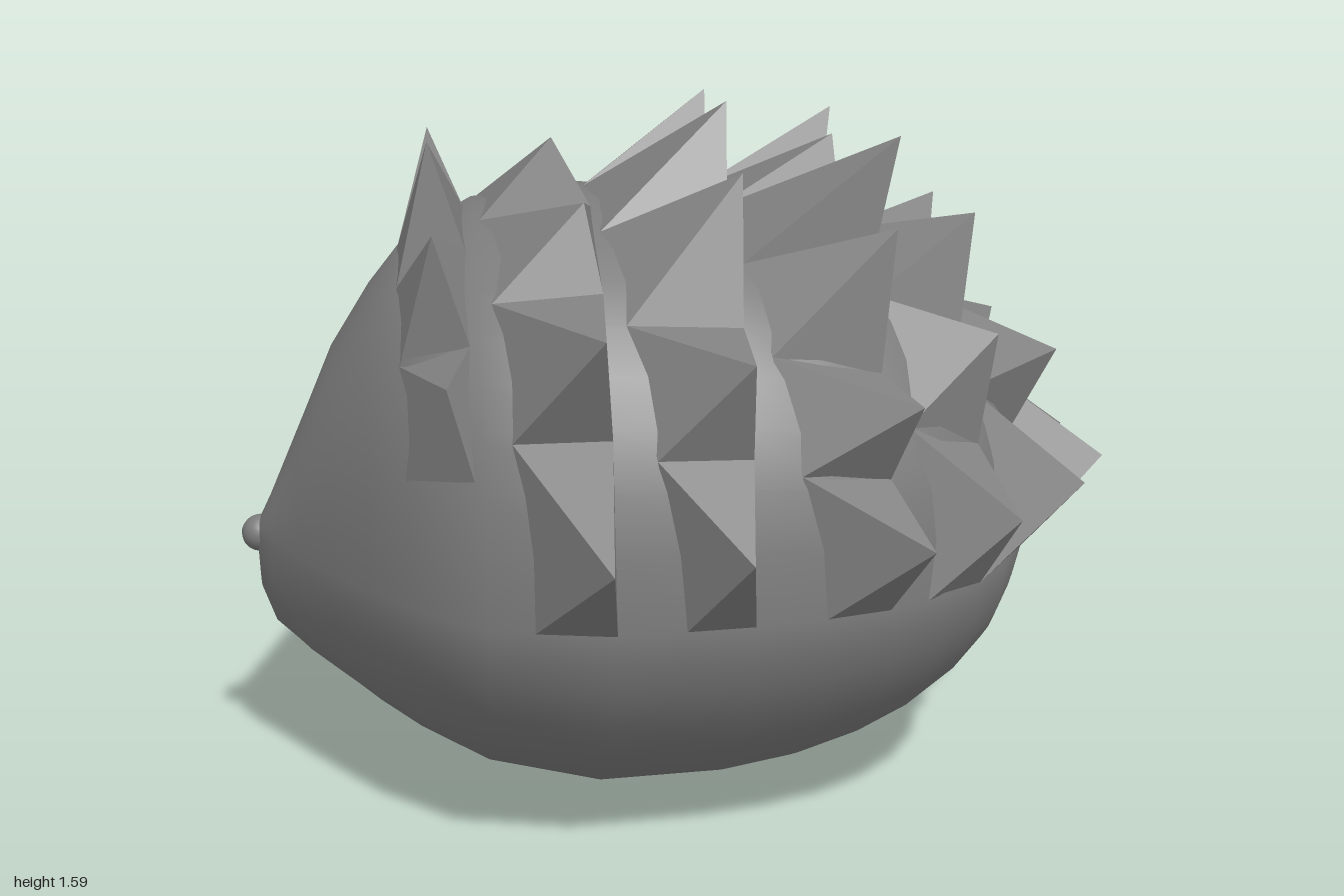
import * as THREE from 'three';

const MID = 0.6; // height of the widest line, where the spines begin

// body stations: x, bottom, top, half width
const STATIONS = [
  [-0.965, 0.6, 0.6, 0], [-0.96, 0.47, 0.63, 0.035], [-0.93, 0.385, 0.69, 0.09],
  [-0.85, 0.31, 0.87, 0.21], [-0.78, 0.26, 1.03, 0.32], [-0.69, 0.195, 1.17, 0.45],
  [-0.6, 0.14, 1.28, 0.57], [-0.45, 0.065, 1.36, 0.71], [-0.2, 0.003, 1.39, 0.765],
  [0.08, 0.008, 1.37, 0.745], [0.24, 0.035, 1.33, 0.72], [0.38, 0.08, 1.28, 0.68],
  [0.5, 0.135, 1.21, 0.62], [0.6, 0.2, 1.13, 0.54], [0.68, 0.275, 1.04, 0.45],
  [0.74, 0.36, 0.95, 0.34], [0.79, 0.46, 0.83, 0.23], [0.81, 0.53, 0.74, 0.15], [0.82, 0.6, 0.6, 0],
];

// spine rings from forehead to tail: front edge low down and at the top, rear edge,
// and the tips of one side from the lowest upwards (z = 0 sits on the centre line)
const RINGS = [
  { low: -0.6, top: -0.62, rear: -0.47, start: 0.35,
    tips: [[-0.52, 1.08, 0.64], [-0.54, 1.35, 0.44], [-0.545, 1.51, 0.16]] },
  { low: -0.36, top: -0.44, rear: -0.2,
    tips: [[-0.22, 0.78, 0.93], [-0.22, 1.2, 0.8], [-0.23, 1.41, 0.42], [-0.27, 1.5, 0]] },
  { low: -0.06, top: -0.2, rear: 0.08,
    tips: [[0.05, 0.78, 0.9], [0.07, 1.14, 0.77], [0.09, 1.47, 0.46], [0.1, 1.59, 0.17]] },
  { low: 0.23, top: 0.08, rear: 0.37,
    tips: [[0.42, 0.77, 0.83], [0.41, 1.04, 0.74], [0.4, 1.36, 0.52], [0.44, 1.53, 0.36], [0.37, 1.5, 0]] },
  { low: 0.46, top: 0.38, rear: 0.6,
    tips: [[0.65, 0.77, 0.65], [0.63, 1.13, 0.49], [0.66, 1.34, 0.18]] },
  { low: 0.6, top: 0.6, rear: 0.74, tips: [[0.87, 0.77, 0.4], [0.84, 1.04, 0.25]] },
  { low: 0.74, top: 0.74, rear: 0.82, tips: [[1, 0.76, 0.15]] },
];

// point on the body at length x and angle a (0 = left side, PI/2 = top)
function surface(x, a) {
  let i = 0;
  while (i < STATIONS.length - 2 && STATIONS[i + 1][0] < x) i++;
  const p = STATIONS[i], q = STATIONS[i + 1];
  const k = (x - p[0]) / (q[0] - p[0]);
  const [bottom, top, w] = [1, 2, 3].map((n) => p[n] + (q[n] - p[n]) * k);
  const c = Math.cos(a), s = Math.sin(a);
  const e = s > 0 ? 0.87 : 1.15; // fuller back, pointed belly
  const y = Math.pow(Math.abs(s), e) * (s > 0 ? top - MID : bottom - MID);
  return [x, MID + y, Math.sign(c) * Math.pow(Math.abs(c), e) * w];
}

function makeBody() {
  const sides = 40, pos = [], index = [];
  STATIONS.forEach(([x], i) => {
    for (let j = 0; j < sides; j++) {
      pos.push(...surface(x, (j / sides) * Math.PI * 2));
      if (i === STATIONS.length - 1) continue;
      const a = i * sides + j, b = i * sides + ((j + 1) % sides);
      index.push(a, a + sides, b, b, a + sides, b + sides);
    }
  });
  const geo = new THREE.BufferGeometry();
  geo.setAttribute('position', new THREE.Float32BufferAttribute(pos, 3));
  geo.setIndex(index);
  geo.computeVertexNormals();
  return geo;
}

// one ring of four-sided spines, each leaning back over its rear edge
function makeSpineRing({ low, top, rear, start = 0, tips }) {
  const otherSide = tips.filter((t) => t[2] > 0).reverse().map(([x, y, z]) => [x, y, -z]);
  const all = [...tips, ...otherSide];
  const step = (Math.PI - 2 * start) / all.length;
  const front = (a) => surface(low + (top - low) * Math.sin(a), a);
  const pos = [];
  all.forEach((tip, i) => {
    const a0 = start + i * step, a1 = a0 + step;
    const base = [front(a0), surface(rear, a0), surface(rear, a1), front(a1)];
    base.forEach((p, k) => pos.push(...p, ...base[(k + 1) % 4], ...tip));
  });
  const geo = new THREE.BufferGeometry();
  geo.setAttribute('position', new THREE.Float32BufferAttribute(pos, 3));
  geo.computeVertexNormals();
  return geo;
}

export function createModel() {
  const model = new THREE.Group();
  model.name = 'hedgehog';
  const smooth = new THREE.MeshStandardMaterial({ color: 0x7c7c7c });
  const faceted = new THREE.MeshStandardMaterial({ color: 0x828282, flatShading: true, side: THREE.DoubleSide });
  const add = (parent, name, geo, mat) => {
    const mesh = new THREE.Mesh(geo, mat);
    mesh.name = name;
    parent.add(mesh);
    return mesh;
  };

  add(model, 'body', makeBody(), smooth);
  add(model, 'nose', new THREE.SphereGeometry(0.043, 16, 12), smooth).position.set(-0.957, 0.6, 0);

  const spines = new THREE.Group();
  spines.name = 'spines';
  model.add(spines);
  RINGS.forEach((ring, i) => add(spines, `spineRing${i + 1}`, makeSpineRing(ring), faceted));

  return model;
}
